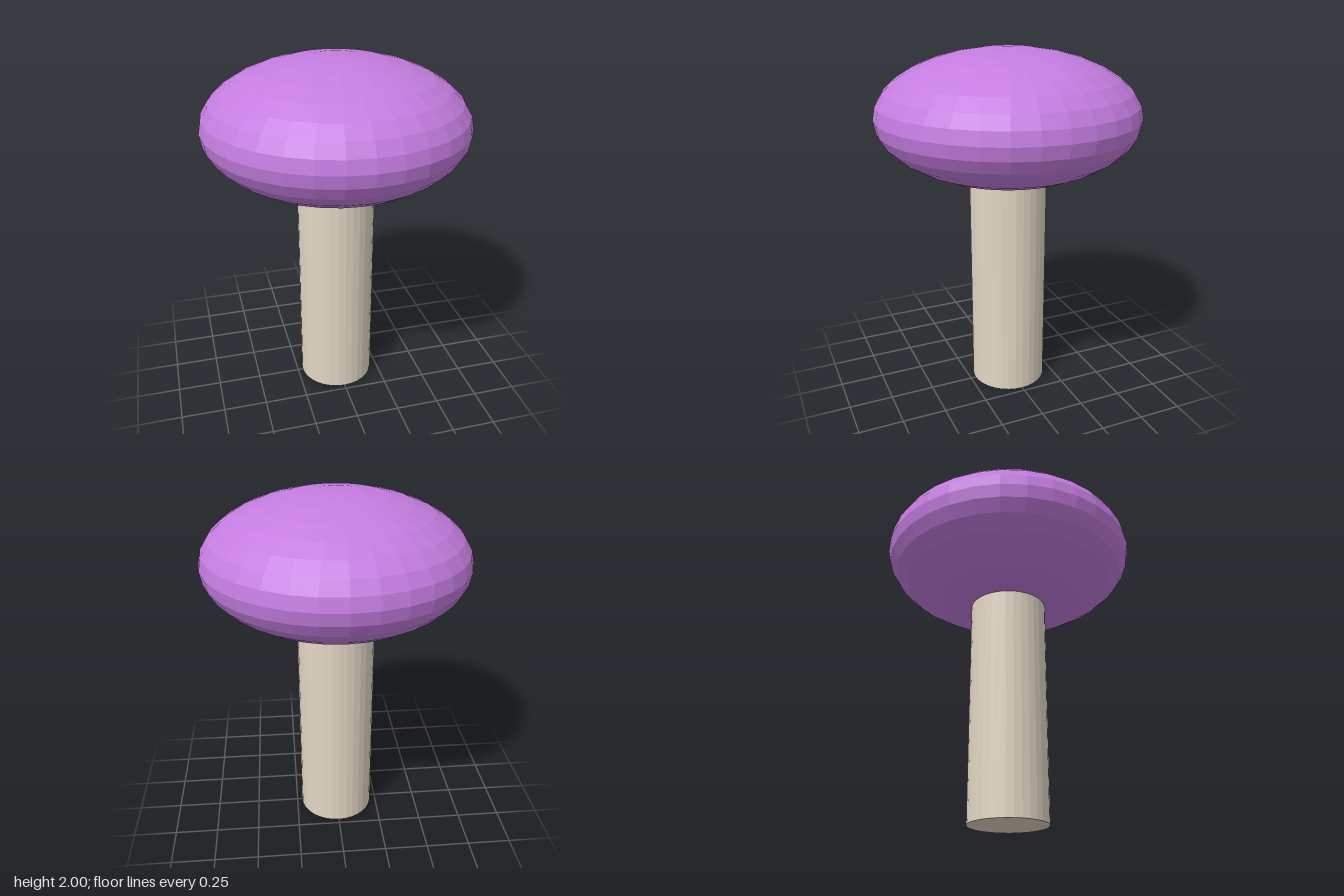
import * as THREE from 'three';

const SIDES = 32;

function part(name, geometry, color, y) {
  const material = new THREE.MeshStandardMaterial({ color, flatShading: true });
  const mesh = new THREE.Mesh(geometry, material);
  mesh.name = name;
  mesh.position.y = y;
  return mesh;
}

export function createModel() {
  const group = new THREE.Group();
  group.name = 'mushroom';

  // Straight round stem, its top sunk into the cap
  const stemHeight = 1.47;
  const stem = new THREE.CylinderGeometry(0.22, 0.22, stemHeight, SIDES);
  group.add(part('stem', stem, 0xe3d7c4, stemHeight / 2));

  // Cap: a faceted sphere flattened to half its height
  const radius = 0.735;
  const cap = new THREE.SphereGeometry(radius, SIDES, 16);
  cap.scale(1, 0.5, 1);
  group.add(part('cap', cap, 0xc47de0, 2 - radius / 2));

  return group;
}
